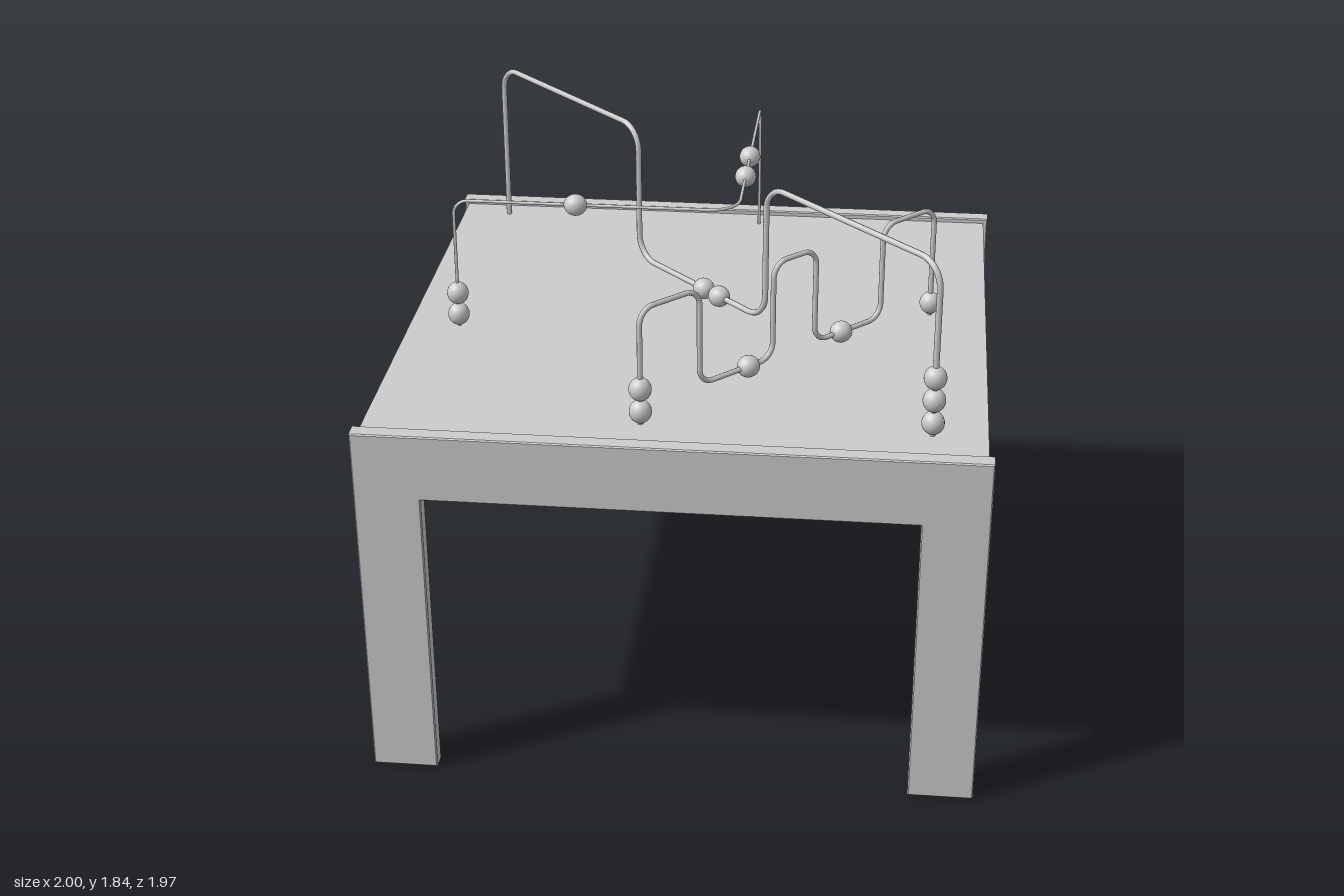
import * as THREE from 'three';

const material = new THREE.MeshStandardMaterial({ color: 0xcccccc, roughness: 0.7 });
const V = (x, y, z) => new THREE.Vector3(x, y, z);
const DECK = 1.24;

function add(parent, name, geometry) {
  const mesh = new THREE.Mesh(geometry, material);
  mesh.name = name;
  parent.add(mesh);
  return mesh;
}

// Wire through corner points, each corner rounded by its own radius
function wireGeometry(points, radii, thickness) {
  const path = new THREE.CurvePath();
  let last = points[0];
  for (let i = 1; i < points.length - 1; i++) {
    const p = points[i];
    const r = Array.isArray(radii) ? radii[i - 1] : radii;
    const toward = (q) => p.clone().add(q.clone().sub(p).setLength(r));
    const a = toward(points[i - 1]);
    const b = toward(points[i + 1]);
    // handles at 0.55 of the radius give a near-circular bend
    path.add(new THREE.LineCurve3(last, a));
    path.add(new THREE.CubicBezierCurve3(a, a.clone().lerp(p, 0.55), b.clone().lerp(p, 0.55), b));
    last = b;
  }
  path.add(new THREE.LineCurve3(last, points[points.length - 1]));
  return new THREE.TubeGeometry(path, 360, thickness, 8, false);
}

// Slightly oval bead, long axis along the wire
function addBead(parent, position, direction) {
  const bead = add(parent, 'bead', new THREE.SphereGeometry(1, 24, 16));
  bead.scale.set(0.0365, 0.039, 0.0365);
  bead.position.copy(position);
  bead.quaternion.setFromUnitVectors(V(0, 1, 0), direction.clone().normalize());
}

// End panel: two legs joined by an apron
function panelGeometry() {
  const b = 0.004, w = 1 - b, leg = 0.785 + b;
  const top = 1.257 - b, under = 1.03 + b;
  const shape = new THREE.Shape([
    [-w, b], [-leg, b], [-leg, under], [leg, under],
    [leg, b], [w, b], [w, top], [-w, top],
  ].map(([x, y]) => new THREE.Vector2(x, y)));
  const depth = 0.058 - 2 * b;
  const geometry = new THREE.ExtrudeGeometry(shape, {
    depth, bevelEnabled: true, bevelSize: b, bevelThickness: b, bevelSegments: 1,
  });
  return geometry.translate(0, 0, -depth / 2);
}

export function createModel() {
  const model = new THREE.Group();
  model.name = 'beadMazeTable';

  // Table
  const table = new THREE.Group();
  table.name = 'table';
  model.add(table);
  add(table, 'tableTop', new THREE.BoxGeometry(1.968, DECK - 1.03, 1.856)).position.y = (DECK + 1.03) / 2;
  for (const side of [1, -1]) {
    add(table, side > 0 ? 'frontLegPanel' : 'backLegPanel', panelGeometry()).position.z = side * 0.954;
  }

  const up = V(0, 1, 0);
  const maze = (name) => {
    const group = new THREE.Group();
    group.name = name;
    model.add(group);
    return group;
  };

  // Tall diagonal wire with two arches
  const tall = maze('tallWireMaze');
  const d1 = (x, y) => V(x, y, x - 0.032);
  const foot = DECK - 0.01;
  add(tall, 'tallWire', wireGeometry([
    d1(-0.813, foot), d1(-0.813, 1.825), d1(-0.24, 1.825), d1(-0.24, 1.342),
    d1(0.24, 1.342), d1(0.24, 1.825), d1(0.808, 1.825), d1(0.808, foot),
  ], 0.085, 0.01));
  for (const x of [0.013, 0.071]) addBead(tall, d1(x, 1.342), V(1, 0, 1));
  for (const y of [1.284, 1.362, 1.44]) addBead(tall, d1(0.808, y), up);

  // Low diagonal wire with three arches
  const low = maze('lowWireMaze');
  const d2 = (x, y) => V(x, y, 0.683 - x);
  add(low, 'lowWire', wireGeometry([
    d2(-0.108, foot), d2(-0.108, 1.637), d2(0.062, 1.637), d2(0.062, 1.3),
    d2(0.28, 1.3), d2(0.28, 1.637), d2(0.41, 1.637), d2(0.41, 1.3),
    d2(0.622, 1.3), d2(0.622, 1.637), d2(0.79, 1.637), d2(0.79, foot),
  ], 0.055, 0.009));
  for (const x of [0.207, 0.495]) addBead(low, d2(x, 1.3), V(1, 0, -1));
  for (const y of [1.284, 1.362]) addBead(low, d2(-0.108, y), up);
  addBead(low, d2(0.79, 1.284), up);

  // Thin wire that turns a right angle in plan
  const bent = maze('bentWireMaze');
  add(bent, 'bentWire', wireGeometry([
    V(-0.813, foot, 0.142), V(-0.813, 1.702, 0.142), V(0.142, 1.702, 0.142),
    V(0.142, 1.702, -0.842), V(0.142, foot, -0.842),
  ], [0.05, 0.1, 0.05], 0.0055));
  addBead(bent, V(-0.4, 1.702, 0.142), V(1, 0, 0));
  for (const z of [-0.165, -0.35]) addBead(bent, V(0.142, 1.702, z), V(0, 0, 1));
  for (const y of [1.284, 1.362]) addBead(bent, V(-0.813, y, 0.142), up);

  return model;
}
